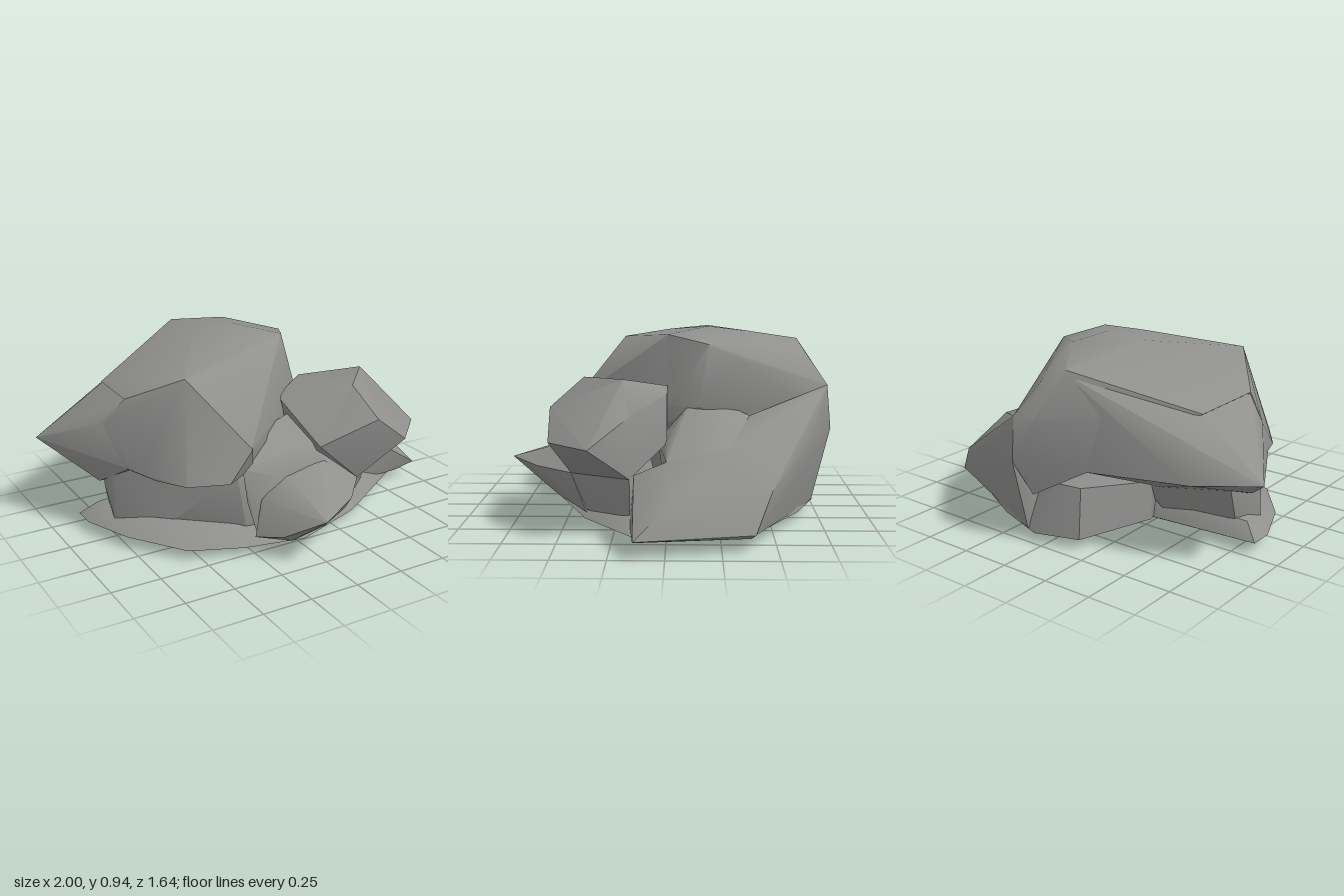
import * as THREE from 'three';
import { ConvexGeometry } from 'three/addons/geometries/ConvexGeometry.js';
import { toCreasedNormals } from 'three/addons/utils/BufferGeometryUtils.js';

const stone = new THREE.MeshStandardMaterial({ color: 0x8f8f8e });
stone.name = 'greyStone';

// One chiselled mass of the boulder, wrapped around its corner points
function chunk(name, corners) {
  const hull = new ConvexGeometry(corners.map(c => new THREE.Vector3(...c)));
  const mesh = new THREE.Mesh(toCreasedNormals(hull, 0.75), stone);
  mesh.name = name;
  return mesh;
}

export function createModel() {
  const rock = new THREE.Group();
  rock.name = 'boulder';
  rock.add(
    // Slightly bulging underside, in two lobes with a nick between them at the back left
    chunk('baseRight', [
      [-0.17, 0.05, -0.67], [0.05, 0.05, -0.74], [0.33, 0.05, -0.64], [0.65, 0.06, -0.46],
      [0.86, 0.06, -0.36], [0.88, 0.05, 0.1], [0.54, 0.05, 0.2], [0.4, 0.03, 0.4],
      [0, 0.04, 0.56], [-0.3, 0.05, -0.27], [-0.1, 0, 0.2], [0.1, 0.01, -0.2],
      [-0.16, 0.3, -0.64], [0.3, 0.25, -0.6], [0.4, 0.25, 0.1], [-0.3, 0.25, -0.27],
    ]),
    chunk('baseLeft', [
      [-0.86, 0.06, -0.22], [-0.33, 0.05, -0.24], [-0.86, 0.06, -0.1], [-0.76, 0.06, 0.15],
      [-0.56, 0.05, 0.41], [-0.3, 0.04, 0.5], [0, 0.04, 0.56], [0.3, 0.03, 0.42],
      [-0.1, 0, 0.2], [0.1, 0.01, -0.2], [-0.78, 0.13, -0.16], [-0.54, 0.13, 0.3],
      [-0.3, 0.12, 0.4], [-0.36, 0.16, -0.2],
    ]),
    // Core under the overhanging left side
    chunk('core', [
      [-0.76, 0.1, 0], [-0.77, 0.25, -0.08], [-0.75, 0.4, 0], [-0.72, 0.4, -0.25],
      [-0.72, 0.1, -0.16], [-0.33, 0.1, -0.22], [-0.3, 0.5, -0.4], [-0.54, 0.13, 0.22],
      [-0.39, 0.25, 0.32], [-0.3, 0.4, 0.42], [-0.25, 0.1, 0.42], [0.2, 0.1, 0.38],
      [0.2, 0.5, 0.1], [0.2, 0.5, -0.2],
    ]),
    // Tall crown with a flat wall slanting down at the front
    chunk('crown', [
      [-0.48, 0.85, 0.25], [-0.05, 0.92, 0], [0.2, 0.91, 0], [0.31, 0.87, -0.2],
      [0.26, 0.78, -0.37], [0.24, 0.57, -0.3], [0.33, 0.57, -0.15], [0.03, 0.94, -0.2],
      [-0.2, 0.93, -0.2], [0.08, 0.92, -0.4], [0.02, 0.8, -0.7], [-0.1, 0.87, -0.66],
      [-0.02, 0.65, -0.8], [0.1, 0.65, -0.8], [0.1, 0.43, -0.82], [0.05, 0.25, -0.74],
      [-0.2, 0.39, -0.64], [-0.68, 0.71, 0], [-0.65, 0.69, -0.36], [0.3, 0.57, 0],
      [-0.26, 0.54, 0.49], [0.06, 0.56, 0.16], [-0.2, 0.42, 0.4], [0.2, 0.42, 0.1],
    ]),
    // Overhanging brow at the front left
    chunk('leftBrow', [
      [-0.48, 0.85, 0.25], [-0.26, 0.54, 0.5], [-0.38, 0.39, 0.5], [-0.56, 0.38, 0.41],
      [-0.65, 0.38, 0.27], [-0.7, 0.4, 0.2], [-0.68, 0.71, 0], [-0.78, 0.59, -0.05],
      [-0.78, 0.4, -0.05], [-0.2, 0.7, 0.1], [-0.2, 0.4, 0.4],
    ]),
    // Point at the far left with the wall running behind it
    chunk('leftPoint', [
      [-1, 0.44, -0.4], [-0.88, 0.47, -0.2], [-0.78, 0.59, -0.05], [-0.78, 0.26, -0.12],
      [-0.72, 0.4, 0.12], [-0.7, 0.41, -0.53], [-0.65, 0.68, -0.36], [-0.4, 0.39, -0.53],
      [-0.2, 0.39, -0.64], [-0.68, 0.7, 0], [-0.1, 0.85, -0.66], [-0.34, 0.22, -0.24],
    ]),
    // Hollow front, sloping from the wall out to the tongue
    chunk('frontSlope', [
      [-0.12, 0.54, 0.31], [0.15, 0.55, 0.18], [0.15, 0.46, 0.4], [-0.28, 0.42, 0.44],
      [-0.26, 0.25, 0.45], [-0.1, 0.36, 0.48], [0.2, 0.34, 0.48], [0.37, 0.25, 0.47],
      [0.3, 0.1, 0.42], [-0.22, 0.08, 0.48], [0.3, 0.4, 0.1],
    ]),
    // Block leaning out on the right
    chunk('rightBlock', [
      [0.8, 0.44, 0.35], [0.6, 0.44, 0.55], [0.42, 0.58, 0.56], [0.4, 0.45, 0.54],
      [0.56, 0.73, 0.2], [0.37, 0.72, 0.4], [0.67, 0.57, 0.17], [0.31, 0.67, 0],
      [0.45, 0.65, 0], [0.49, 0.42, 0], [0.1, 0.63, 0.13], [0.14, 0.46, 0.47],
      [0.37, 0.25, 0.47], [0.66, 0.28, 0.17], [0.2, 0.25, 0.2],
    ]),
    // Hollow below the block
    chunk('blockRoot', [
      [0.37, 0.25, 0.47], [0.66, 0.3, 0.17], [0.62, 0.07, 0.17], [0.34, 0.06, 0.4],
      [0.2, 0.1, 0.2], [0.4, 0.4, 0.1], [0.5, 0.07, 0],
    ]),
    // Tongue pointing forward
    chunk('frontTongue', [
      [-0.05, 0.25, 0.82], [0.2, 0.25, 0.66], [0.37, 0.25, 0.47], [-0.18, 0.13, 0.65],
      [-0.25, 0.09, 0.51], [-0.1, 0.07, 0.6], [0.12, 0.08, 0.56], [0.35, 0.05, 0.4],
      [-0.2, 0.26, 0.48], [-0.06, 0.36, 0.46], [0.17, 0.38, 0.46], [0, 0.1, 0.2],
    ]),
    // Sloping foot at the right
    chunk('rightFoot', [
      [1, 0.08, 0.14], [0.9, 0.05, 0.13], [0.64, 0.06, 0.17], [0.66, 0.3, 0.15],
      [0.7, 0.37, 0], [0.89, 0.25, -0.05], [0.88, 0.08, -0.4], [0.86, 0.06, -0.38],
      [0.75, 0.25, -0.48], [0.5, 0.06, 0.1], [0.65, 0.42, -0.29], [0.5, 0.06, -0.45],
    ]),
    // Saddle joining block, foot and crown
    chunk('saddle', [
      [0.28, 0.52, -0.4], [0.24, 0.57, -0.28], [0.3, 0.57, -0.1], [0.48, 0.44, 0],
      [0.7, 0.37, 0], [0.65, 0.42, -0.29], [0.85, 0.27, -0.1], [0.74, 0.25, -0.46],
      [0.3, 0.4, 0.05], [0.4, 0.1, 0], [0.4, 0.1, -0.5],
    ]),
    // Low shoulder at the back right
    chunk('backShoulder', [
      [0.87, 0.08, -0.4], [0.75, 0.25, -0.48], [0.49, 0.25, -0.61], [0.37, 0.42, -0.69],
      [0.22, 0.56, -0.73], [0.65, 0.42, -0.29], [0.28, 0.52, -0.4], [0.1, 0.65, -0.8],
      [0.1, 0.43, -0.82], [0.08, 0.25, -0.74], [0.33, 0.06, -0.63], [0.65, 0.07, -0.46],
      [0.1, 0.06, -0.73], [0.2, 0.1, -0.2],
    ]),
  );
  return rock;
}
